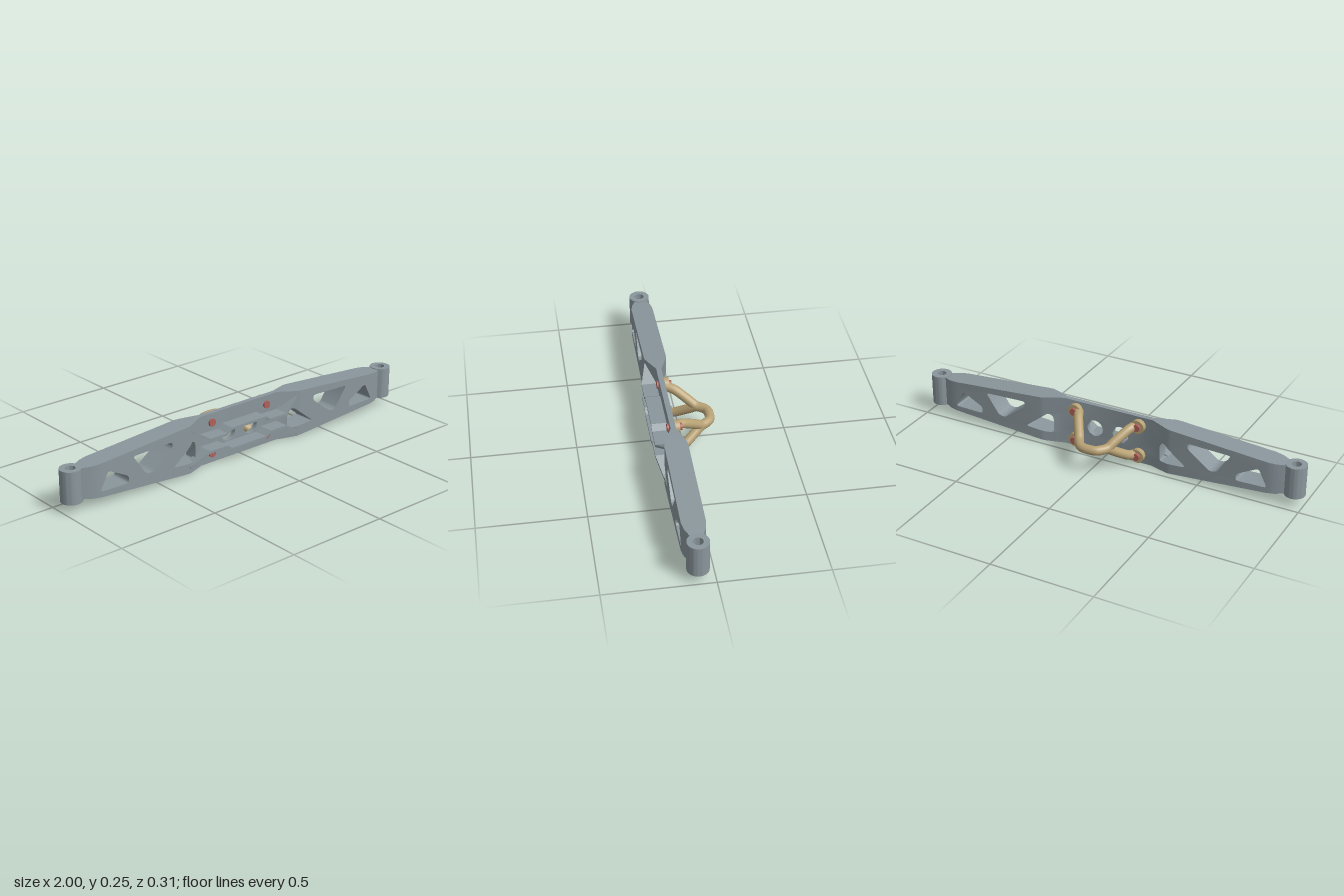
import * as THREE from 'three';
import { toCreasedNormals, mergeVertices } from 'three/addons/utils/BufferGeometryUtils.js';

const MID = 0.1225; // height of the horizontal symmetry line
const steel = new THREE.MeshStandardMaterial({ color: 0x8a969c });
const brass = new THREE.MeshStandardMaterial({ color: 0xb8a275 });
const red = new THREE.MeshStandardMaterial({ color: 0xb0605a });

// Plan profile of the beam: [|x|, back z, front z]
const PLAN = [
  [0, 0.06, 0.085], [0.235, 0.06, 0.085], [0.33, 0.024, 0.128], [0.35, 0.022, 0.13],
  [0.83, 0.022, 0.13], [0.87, 0.028, 0.122], [0.92, 0.052, 0.098],
];
const RIB_PLAN = [[0, 0.075, 0.157], [0.235, 0.075, 0.157], [0.335, 0.1, 0.128]];

function planAt(plan, x) {
  const a = Math.abs(x);
  let i = 1;
  while (i < plan.length - 1 && a > plan[i][0]) i++;
  const [p, q] = [plan[i - 1], plan[i]];
  const t = Math.min(1, (a - p[0]) / (q[0] - p[0]));
  return [p[1] + (q[1] - p[1]) * t, p[2] + (q[2] - p[2]) * t];
}

// Splits every triangle at the plane x = c
function splitAtX(tris, c) {
  const out = [];
  for (const tri of tris) {
    for (const s of [-1, 1]) {
      const poly = [];
      tri.forEach((a, i) => {
        const b = tri[(i + 1) % 3];
        const da = (a.x - c) * s, db = (b.x - c) * s;
        if (da >= -1e-7) poly.push(a);
        if ((da > 1e-7 && db < -1e-7) || (da < -1e-7 && db > 1e-7)) poly.push(a.clone().lerp(b, da / (da - db)));
      });
      if (poly.every((p) => Math.abs(p.x - c) < 1e-6) && s < 0) continue;
      for (let i = 1; i + 1 < poly.length; i++) out.push([poly[0], poly[i], poly[i + 1]]);
    }
  }
  return out;
}

// Extrudes a shape and bends its front and back faces to a plan profile
function extrudeToPlan(shape, plan) {
  const geo = new THREE.ExtrudeGeometry(shape, { depth: 1, bevelEnabled: false, curveSegments: 8 }).toNonIndexed?.call
    ? new THREE.ExtrudeGeometry(shape, { depth: 1, bevelEnabled: false, curveSegments: 8 })
    : null;
  const pos = geo.attributes.position;
  let tris = [];
  for (let i = 0; i < pos.count; i += 3) {
    tris.push([0, 1, 2].map((k) => new THREE.Vector3().fromBufferAttribute(pos, i + k)));
  }
  for (const [x] of plan.slice(1, -1)) for (const s of [-1, 1]) tris = splitAtX(tris, x * s);
  const pts = tris.flat().map((p) => {
    const [back, front] = planAt(plan, p.x);
    return new THREE.Vector3(p.x, p.y, back + (front - back) * p.z);
  });
  const bent = new THREE.BufferGeometry().setFromPoints(pts);
  return toCreasedNormals(bent, 0.5);
}

// Closed polygon with rounded corners
function roundedPath(points, r) {
  const path = new THREE.Path();
  const v = points.map((p) => new THREE.Vector2(...p));
  v.forEach((p, i) => {
    const toward = (q) => p.clone().add(q.clone().sub(p).setLength(Math.min(r, p.distanceTo(q) * 0.45)));
    const a = toward(v[(i + v.length - 1) % v.length]);
    const b = toward(v[(i + 1) % v.length]);
    if (i) path.lineTo(a.x, a.y); else path.moveTo(a.x, a.y);
    path.quadraticCurveTo(p.x, p.y, b.x, b.y);
  });
  path.closePath();
  return path;
}

function beamGeometry() {
  const half = [[0.92, 0.073], [0.84, 0.079], [0.25, MID]];
  const mirrorX = half.map(([x, y]) => [-x, y]).reverse();
  const top = [...half, ...mirrorX].map(([x, y]) => [x, MID + y]);
  const bottom = top.map(([x, y]) => [x, 2 * MID - y]).reverse();
  const shape = new THREE.Shape([...top, ...bottom].map((p) => new THREE.Vector2(...p)));
  // Truss windows of one arm
  const windows = [
    [[0.835, 0.07], [0.79, 0.158], [0.68, 0.1], [0.68, 0.066]],
    [[0.655, 0.185], [0.435, 0.192], [0.435, 0.165], [0.55, 0.078], [0.585, 0.083]],
    [[0.43, 0.063], [0.31, 0.157], [0.285, 0.138], [0.285, 0.052]],
  ];
  for (const s of [-1, 1]) {
    for (const w of windows) shape.holes.push(roundedPath(w.map(([x, y]) => [x * s, y]), 0.016));
    shape.holes.push(new THREE.Path().absarc(0.068 * s, MID, 0.042, 0, Math.PI * 2));
  }
  return extrudeToPlan(shape, PLAN);
}

// Thin stepped rib; side = 1 for the upper one, -1 for the lower one
function ribGeometry(side) {
  const half = [[0.105, 0.045], [0.135, 0.025], [0.235, 0.025], [0.33, 0.084]];
  const line = [...half.map(([x, y]) => [-x, y]).reverse(), ...half];
  const loop = [...line, ...line.map(([x, y]) => [x, y + 0.012]).reverse()];
  return extrudeToPlan(new THREE.Shape(loop.map(([x, y]) => new THREE.Vector2(x, MID + y * side))), RIB_PLAN);
}

function barrelGeometry() {
  const ring = new THREE.Shape().absarc(0, 0, 0.05, 0, Math.PI * 2);
  ring.holes.push(new THREE.Path().absarc(0, 0, 0.023, 0, Math.PI * 2));
  const geo = new THREE.ExtrudeGeometry(ring, { depth: 0.155, bevelEnabled: false, curveSegments: 24 });
  return toCreasedNormals(geo.rotateX(-Math.PI / 2), 0.6);
}

// Disc lying along z between two depths
function disc(r, z0, z1, x, y) {
  return new THREE.CylinderGeometry(r, r, z1 - z0, 24).rotateX(Math.PI / 2).translate(x, y, (z0 + z1) / 2);
}

export function createModel() {
  const model = new THREE.Group();
  const add = (name, geo, mat) => {
    const mesh = new THREE.Mesh(geo, mat);
    mesh.name = name;
    model.add(mesh);
  };

  add('beam', beamGeometry(), steel);
  add('upperRib', ribGeometry(1), steel);
  add('lowerRib', ribGeometry(-1), steel);
  for (const s of [-1, 1]) add('endBarrel', barrelGeometry().translate(0.95 * s, 0.045, 0.075), steel);

  // Rear hoop: four legs merge in pairs and join in a loop; [x, offset from MID, z]
  const leg = [[0.15, 0.077, 0.048], [0.134, 0.068, 0.015], [0.115, 0.048, -0.018],
    [0.09, 0.02, -0.058], [0.076, 0.003, -0.082], [0.062, 0, -0.105]];
  const loop = [[0.042, 0, -0.126], [0.02, 0, -0.133]];
  for (const s of [-1, 1]) {
    const half = [...leg, ...loop];
    const path = [...half, ...half.map(([x, y, z]) => [-x, y, z]).reverse()]
      .map(([x, y, z]) => new THREE.Vector3(x, MID + y * s, z));
    add('hoopTube', new THREE.TubeGeometry(new THREE.CatmullRomCurve3(path), 96, 0.023, 16), brass);
  }

  // Mounting pads with bolts through the plate
  for (const sx of [-1, 1]) {
    for (const sy of [-1, 1]) {
      const x = 0.168 * sx, y = MID + 0.078 * sy;
      add('mountPad', disc(0.034, 0.035, 0.061, x, y), brass);
      add('rearBolt', disc(0.018, 0.022, 0.036, x, y), red);
      add('frontBolt', disc(0.019, 0.08, 0.093, x, y), red);
    }
  }
  return model;
}
